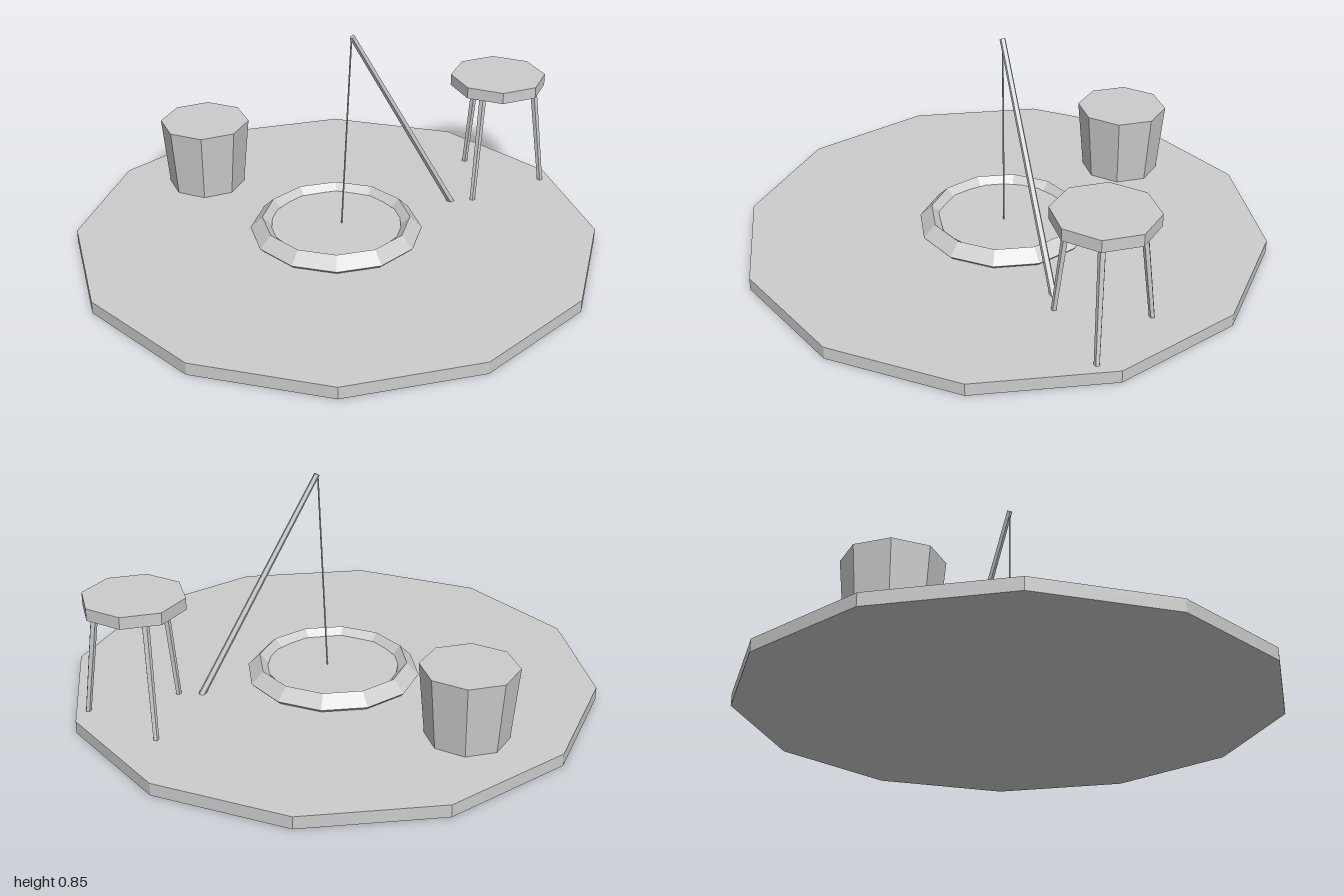
import * as THREE from 'three';

export function createModel() {
  const model = new THREE.Group();
  const grey = new THREE.MeshStandardMaterial({ color: 0xcccccc, flatShading: true });
  grey.name = 'light grey';

  const add = (name, geometry, parent = model) => {
    const mesh = new THREE.Mesh(geometry, grey);
    mesh.name = name;
    parent.add(mesh);
    return mesh;
  };

  // Upright prism or cone section between two heights
  const prism = (name, x, z, y0, y1, rTop, rBottom, sides, parent) =>
    add(name, new THREE.CylinderGeometry(rTop, rBottom, y1 - y0, sides), parent)
      .position.set(x, (y0 + y1) / 2, z);

  // Slanted rod between two points
  const rod = (name, from, to, rBottom, rTop, sides, parent) => {
    const a = new THREE.Vector3(...from);
    const b = new THREE.Vector3(...to);
    const dir = b.clone().sub(a);
    const mesh = add(name, new THREE.CylinderGeometry(rTop, rBottom, dir.length(), sides), parent);
    mesh.position.copy(a).add(b).multiplyScalar(0.5);
    mesh.quaternion.setFromUnitVectors(new THREE.Vector3(0, 1, 0), dir.normalize());
  };

  const ground = 0.047;

  // Twelve-sided floor
  prism('floor', 0, 0, 0, ground, 1, 1, 12);

  // Hole with a raised diamond-section rim and water inside
  const rim = new THREE.TorusGeometry(0.284, 0.046, 4, 12);
  rim.rotateX(Math.PI / 2);
  add('holeRim', rim).position.y = 0.06;
  prism('water', 0, 0, 0.03, 0.079, 0.26, 0.26, 10);

  // Fishing rod and line
  const tip = [0.058, 0.848, 0];
  rod('fishingRod', [0.463, 0.042, -0.235], tip, 0.014, 0.011, 5);
  rod('fishingLine', [0.021, 0.075, 0], [0.055, 0.845, 0], 0.003, 0.003, 4);

  // Tapered bucket
  prism('bucket', -0.53, -0.413, ground, 0.32, 0.177, 0.152, 8);

  // Three-legged stool
  const stool = new THREE.Group();
  stool.name = 'stool';
  stool.position.set(0.647, 0, -0.415);
  model.add(stool);
  prism('stoolSeat', 0, 0, 0.475, 0.52, 0.187, 0.187, 8, stool);
  for (let i = 0; i < 3; i++) {
    const a = (i * Math.PI * 2) / 3;
    const at = (r, y) => [Math.cos(a) * r, y, Math.sin(a) * r];
    rod('stoolLeg', at(0.197, 0.045), at(0.142, 0.48), 0.011, 0.014, 5, stool);
  }

  return model;
}
